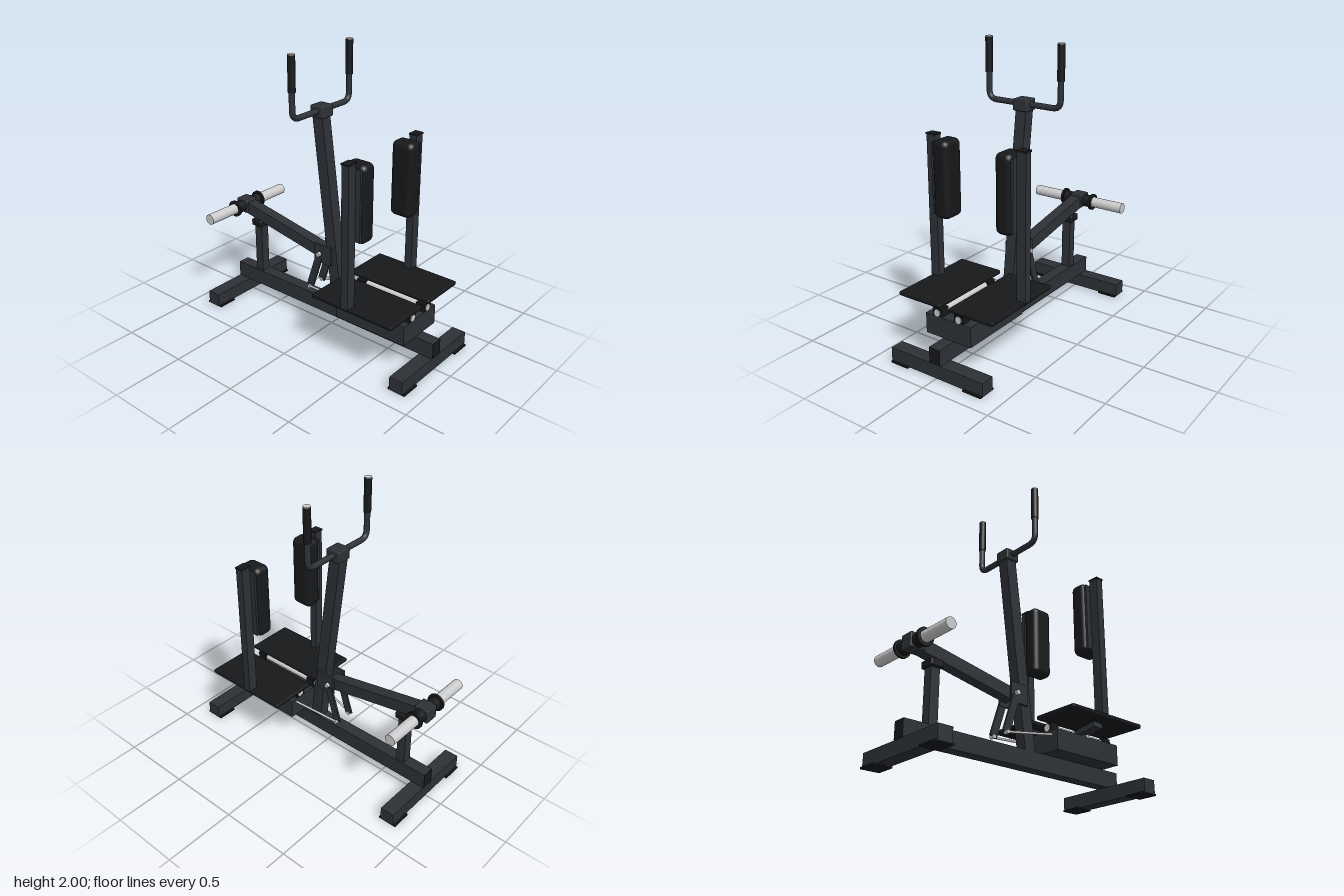
import * as THREE from 'three';
import { RoundedBoxGeometry } from 'three/addons/geometries/RoundedBoxGeometry.js';

const frameMat = new THREE.MeshStandardMaterial({ color: 0x2d3136 });
const blackMat = new THREE.MeshStandardMaterial({ color: 0x17181a });
const steelMat = new THREE.MeshStandardMaterial({ color: 0xcccccc });

export function createModel() {
  const model = new THREE.Group();
  model.name = 'hipPressMachine';

  const add = (name, geometry, material, x = 0, y = 0, z = 0) => {
    const mesh = new THREE.Mesh(geometry, material);
    mesh.name = name;
    mesh.position.set(x, y, z);
    model.add(mesh);
    return mesh;
  };
  // box given by its limits on each axis
  const box = (name, mat, [x0, x1], [y0, y1], [z0, z1]) =>
    add(name, new THREE.BoxGeometry(x1 - x0, y1 - y0, z1 - z0), mat,
      (x0 + x1) / 2, (y0 + y1) / 2, (z0 + z1) / 2);
  // rectangular bar from a to b
  const bar = (name, mat, a, b, w, h) => {
    const p = new THREE.Vector3(...a), q = new THREE.Vector3(...b);
    const mid = p.clone().add(q).multiplyScalar(0.5);
    const mesh = add(name, new THREE.BoxGeometry(w, h, p.distanceTo(q)), mat, ...mid);
    mesh.lookAt(q);
    return mesh;
  };
  // round rod from a to b
  const rod = (name, mat, a, b, r) => {
    const p = new THREE.Vector3(...a), q = new THREE.Vector3(...b);
    const mid = p.clone().add(q).multiplyScalar(0.5);
    const geo = new THREE.CylinderGeometry(r, r, p.distanceTo(q), 28).rotateX(Math.PI / 2);
    const mesh = add(name, geo, mat, ...mid);
    mesh.lookAt(q);
    return mesh;
  };

  // Base: long beam on two cross feet with rubber pads
  box('baseBeam', frameMat, [-0.043, 0.043], [0.1, 0.215], [-0.88, 0.88]);
  for (const e of [-1, 1]) {
    add('crossFoot', new THREE.BoxGeometry(0.74, 0.095, 0.1), frameMat, 0, 0.0535, e * 0.828);
    for (const s of [-1, 1])
      add('footPad', new THREE.BoxGeometry(0.14, 0.012, 0.13), blackMat, s * 0.295, 0.006, e * 0.828);
    add('beamEndCap', new THREE.BoxGeometry(0.084, 0.11, 0.006), blackMat, 0, 0.158, e * 0.88);
  }

  // Leaning mast: a box sheared so both ends stay level
  const mastGeo = new THREE.BoxGeometry(0.08, 1.33, 0.084);
  const pos = mastGeo.attributes.position;
  for (let i = 0; i < pos.count; i++) pos.setZ(i, pos.getZ(i) - 0.126 * pos.getY(i));
  mastGeo.computeVertexNormals();
  add('mast', mastGeo, frameMat, 0, 0.88, -0.003);
  add('handlebarClamp', new RoundedBoxGeometry(0.11, 0.08, 0.105, 2, 0.008), frameMat, 0, 1.577, -0.083);

  // Handlebar: U-shaped tube with filleted corners
  const hz = -0.083, hy = 1.58, hx = 0.282, fil = 0.06;
  const v = (x, y) => new THREE.Vector3(x, y, hz);
  const path = new THREE.CurvePath();
  path.add(new THREE.LineCurve3(v(-hx, 1.96), v(-hx, hy + fil)));
  path.add(new THREE.QuadraticBezierCurve3(v(-hx, hy + fil), v(-hx, hy), v(-hx + fil, hy)));
  path.add(new THREE.LineCurve3(v(-hx + fil, hy), v(hx - fil, hy)));
  path.add(new THREE.QuadraticBezierCurve3(v(hx - fil, hy), v(hx, hy), v(hx, hy + fil)));
  path.add(new THREE.LineCurve3(v(hx, hy + fil), v(hx, 1.96)));
  add('handlebar', new THREE.TubeGeometry(path, 120, 0.02, 20), frameMat);

  // Carriage housing between the platforms
  box('housing', frameMat, [-0.18, 0.18], [0.215, 0.355], [0.187, 0.745]);

  // Weight lever, its pivot and its rear rest
  const axY = 0.705, axZ = -0.818;
  bar('leverArm', frameMat, [0, 0.562, -0.055], [0, axY, axZ], 0.08, 0.085);
  rod('pivotBolt', steelMat, [-0.085, 0.565, -0.055], [0.085, 0.565, -0.055], 0.016);
  add('leverHead', new RoundedBoxGeometry(0.1, 0.1, 0.105, 2, 0.008), frameMat, 0, axY, axZ);
  rod('axleSleeve', blackMat, [-0.115, axY, axZ], [0.115, axY, axZ], 0.045);
  box('restPost', frameMat, [-0.033, 0.033], [0.215, 0.585], [-0.705, -0.64]);
  add('restBumper', new RoundedBoxGeometry(0.11, 0.05, 0.095, 2, 0.01), blackMat, 0, 0.605, -0.672);

  // Parts that repeat on both sides
  for (const s of [-1, 1]) {
    // handle grips
    rod('grip', blackMat, [s * hx, 1.76, hz], [s * hx, 1.995, hz], 0.025);
    rod('gripCap', steelMat, [s * hx, 1.99, hz], [s * hx, 2, hz], 0.024);

    // weight axle with collar
    rod('weightAxle', steelMat, [s * 0.1, axY, axZ], [s * 0.37, axY, axZ], 0.038);
    rod('axleCollar', blackMat, [s * 0.11, axY, axZ], [s * 0.126, axY, axZ], 0.06);

    // pivot plate, crank and linkage rod
    add('pivotPlate', new THREE.BoxGeometry(0.016, 0.137, 0.142), frameMat, s * 0.056, 0.567, -0.028);
    bar('crank', frameMat, [s * 0.062, 0.54, -0.06], [s * 0.062, 0.285, -0.143], 0.014, 0.055);
    rod('crankBolt', steelMat, [s * 0.05, 0.285, -0.14], [s * 0.085, 0.285, -0.14], 0.013);
    rod('linkRod', steelMat, [s * 0.074, 0.285, -0.14], [s * 0.172, 0.358, 0.46], 0.008);
    rod('linkRodEnd', steelMat, [s * 0.155, 0.358, 0.46], [s * 0.185, 0.358, 0.46], 0.013);

    // hinge shaft in bearing blocks, and the angled platform arm
    rod('hingeShaft', steelMat, [s * 0.085, 0.38, 0.187], [s * 0.085, 0.38, 0.75], 0.024);
    for (const z of [0.222, 0.71])
      add('bearingBlock', new THREE.BoxGeometry(0.07, 0.058, 0.068), blackMat, s * 0.085, 0.381, z);
    const arm = add('platformArm', new THREE.BoxGeometry(0.21, 0.038, 0.08), frameMat, s * 0.175, 0.395, 0.46);
    arm.rotation.z = s * 0.16;

    // foot platform
    add('footPlatform', new RoundedBoxGeometry(0.338, 0.028, 0.64, 2, 0.008), blackMat, s * 0.205, 0.448, 0.46);

    // side upright with cap
    box('sideUpright', frameMat, [s * 0.35 - 0.034, s * 0.35 + 0.034], [0.455, 1.433], [0.395, 0.45]);
    add('uprightCap', new THREE.BoxGeometry(0.076, 0.012, 0.062), blackMat, s * 0.35, 1.437, 0.4225);

    // thigh pad on its backing plate
    add('pad', new RoundedBoxGeometry(0.122, 0.525, 0.165, 5, 0.04), blackMat, s * 0.245, 1.157, 0.422);
    add('padBacking', new THREE.BoxGeometry(0.016, 0.48, 0.13), frameMat, s * 0.309, 1.157, 0.422);
  }
  return model;
}
